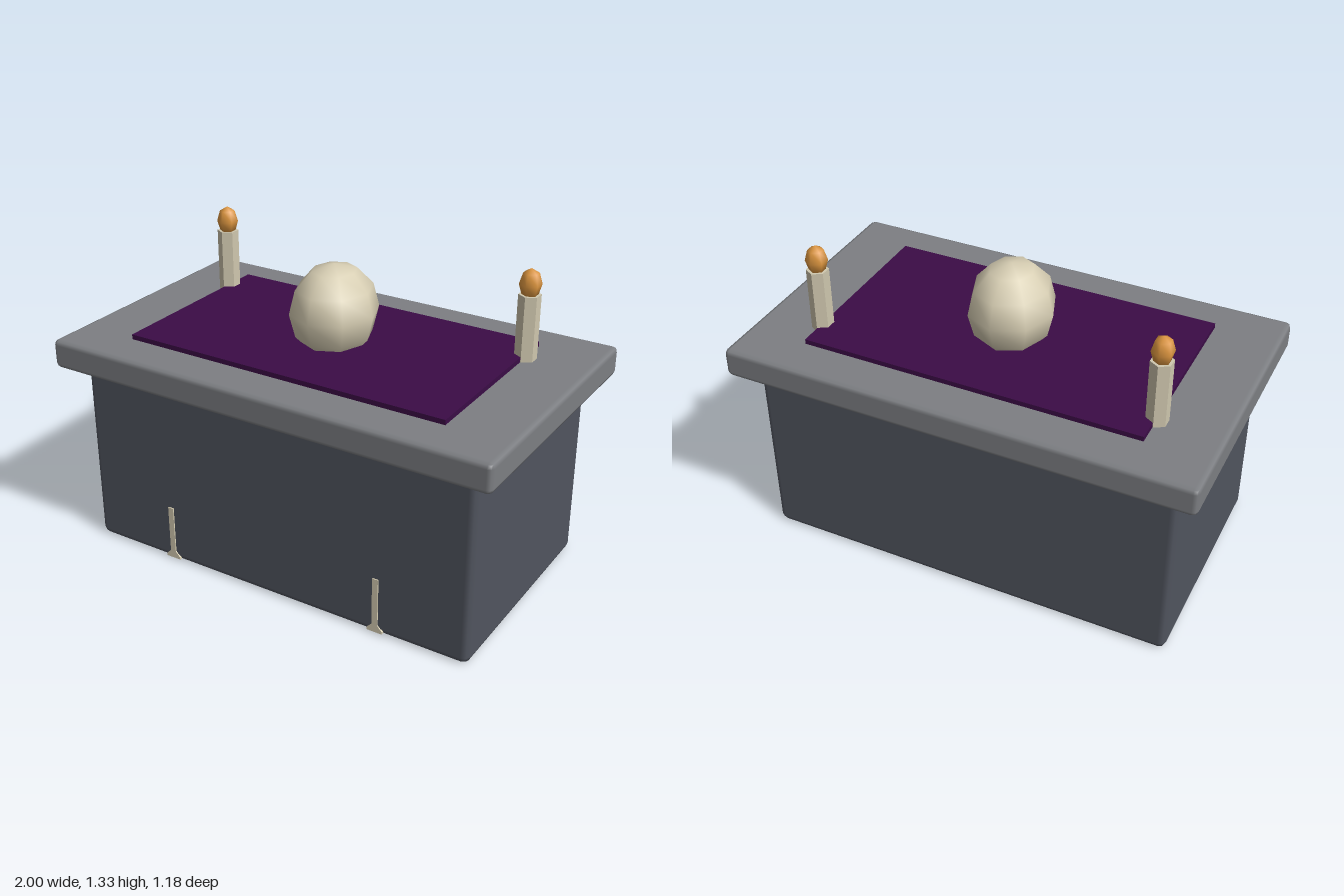
import * as THREE from 'three';
import { RoundedBoxGeometry } from 'three/addons/geometries/RoundedBoxGeometry.js';

const material = (name, color, flatShading = false) => {
  const m = new THREE.MeshStandardMaterial({ color, flatShading });
  m.name = name;
  return m;
};

export function createModel() {
  const group = new THREE.Group();
  const darkStone = material('dark stone', 0x51555f);
  const greyStone = material('grey stone', 0x7d7f83);
  const purple = material('purple cloth', 0x3b0c46);
  const bone = material('bone', 0xd8cfb4);
  const wax = material('candle wax', 0xd0c8af, true);
  const orange = material('flame orange', 0xdd9640);

  const add = (name, geometry, mat, x, y, z) => {
    const mesh = new THREE.Mesh(geometry, mat);
    mesh.name = name;
    mesh.position.set(x, y, z);
    group.add(mesh);
    return mesh;
  };

  // Stone block and overhanging top slab
  add('base', new RoundedBoxGeometry(1.81, 0.82, 1, 1, 0.03), darkStone, 0, 0.41, 0);
  add('topSlab', new RoundedBoxGeometry(2, 0.125, 1.18, 1, 0.022), greyStone, 0, 0.8825, 0);

  // Cloth
  add('cloth', new THREE.BoxGeometry(1.45, 0.025, 0.82), purple, 0, 0.9535, 0);

  // Low-sided orb sunk into the slab
  add('orb', new THREE.SphereGeometry(0.2, 8, 6), bone, 0, 1.09, 0).scale.x = 0.9;

  // Narrow bone with a flared foot
  const profile = new THREE.Shape([
    [-0.035, 0.008], [0.035, 0.008], [0.035, 0.018], [0.013, 0.042],
    [0.013, 0.255], [-0.013, 0.255], [-0.013, 0.042], [-0.035, 0.018],
  ].map(([x, y]) => new THREE.Vector2(x, y)));
  const inlay = new THREE.ExtrudeGeometry(profile, { depth: 0.055, bevelEnabled: false });

  for (const side of [-1, 1]) {
    const label = side > 0 ? 'left' : 'right';
    // Six-sided candles with flames
    add(label + 'Candle', new THREE.CylinderGeometry(0.046, 0.046, 0.275, 6), wax, side * 0.727, 1.0825, -0.273);
    const flame = add(label + 'Flame', new THREE.SphereGeometry(0.046, 6, 4), orange, side * 0.727, 1.262, -0.273);
    flame.scale.y = 1.42;
    flame.rotation.y = Math.PI / 2;
    // Bone inlays on the front face
    add(label + 'BoneInlay', inlay, bone, side * 0.5, 0, 0.45);
  }
  return group;
}
